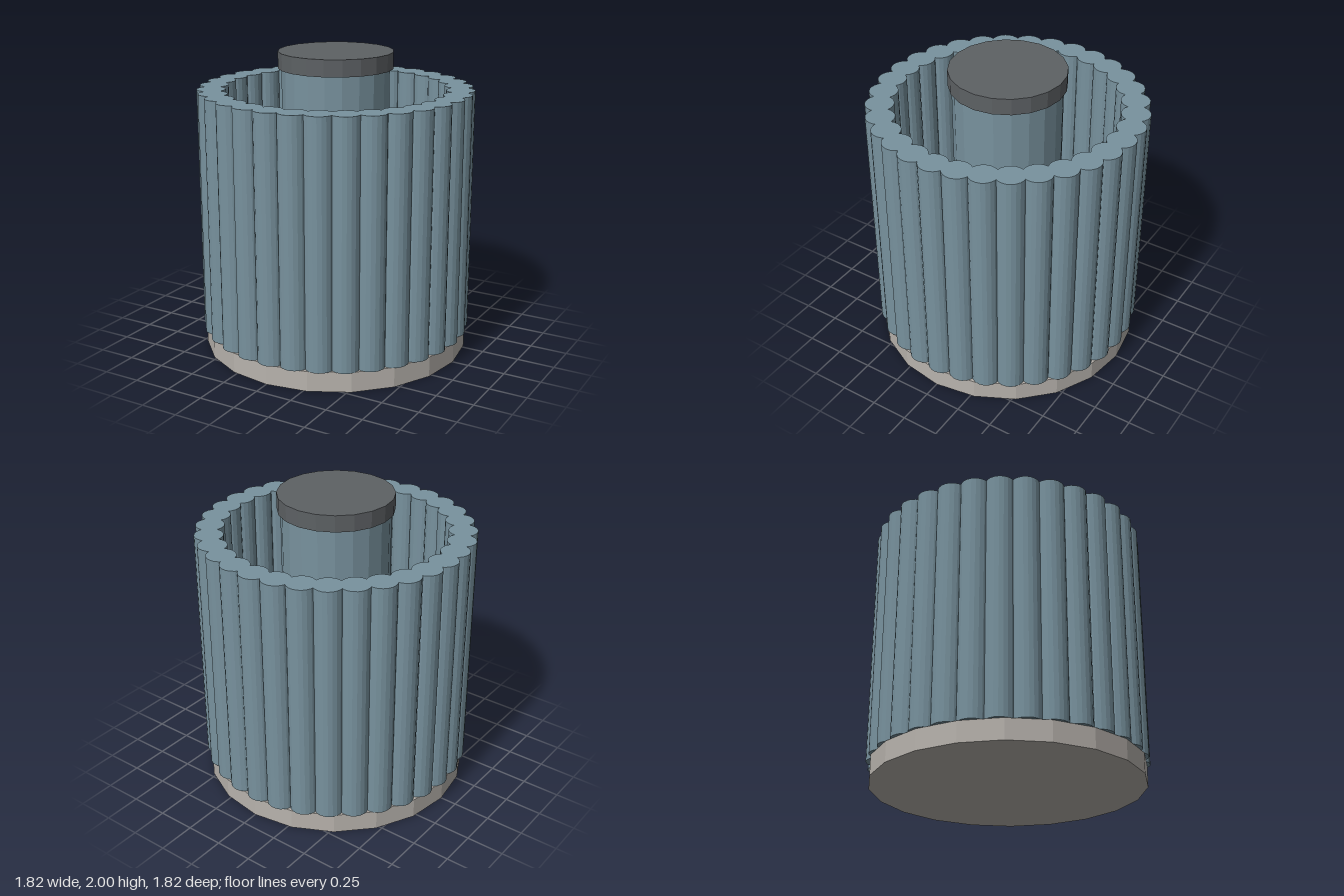
import * as THREE from 'three';

const SIDES = 20;
const COLUMNS = 32;

export function createModel() {
  const model = new THREE.Group();
  model.name = 'flutedVessel';

  const material = (name, color) => {
    const m = new THREE.MeshStandardMaterial({ color, flatShading: true });
    m.name = name;
    return m;
  };
  const blue = material('slate blue', 0x78929e);
  const stone = material('warm stone', 0xb8b3ad);
  const charcoal = material('charcoal', 0x5d6164);

  // Upright cylinder between two heights
  const cylinder = (name, radius, bottom, top, mat, parent = model) => {
    const geometry = new THREE.CylinderGeometry(radius, radius, top - bottom, SIDES);
    const mesh = new THREE.Mesh(geometry, mat);
    mesh.name = name;
    mesh.position.y = (bottom + top) / 2;
    parent.add(mesh);
    return mesh;
  };

  // Foot plate, central post and its cap
  cylinder('base', 0.89, 0, 0.135, stone);
  cylinder('centralPost', 0.355, 0.135, 1.89, blue);
  cylinder('postCap', 0.378, 1.89, 2, charcoal);

  // Wall made of overlapping round columns
  const wall = new THREE.Group();
  wall.name = 'columnWall';
  model.add(wall);
  for (let i = 0; i < COLUMNS; i++) {
    const angle = (i / COLUMNS) * Math.PI * 2;
    const column = cylinder('wallColumn', 0.095, 0.135, 1.757, blue, wall);
    column.position.x = Math.sin(angle) * 0.813;
    column.position.z = Math.cos(angle) * 0.813;
    column.rotation.y = angle;
  }

  return model;
}
